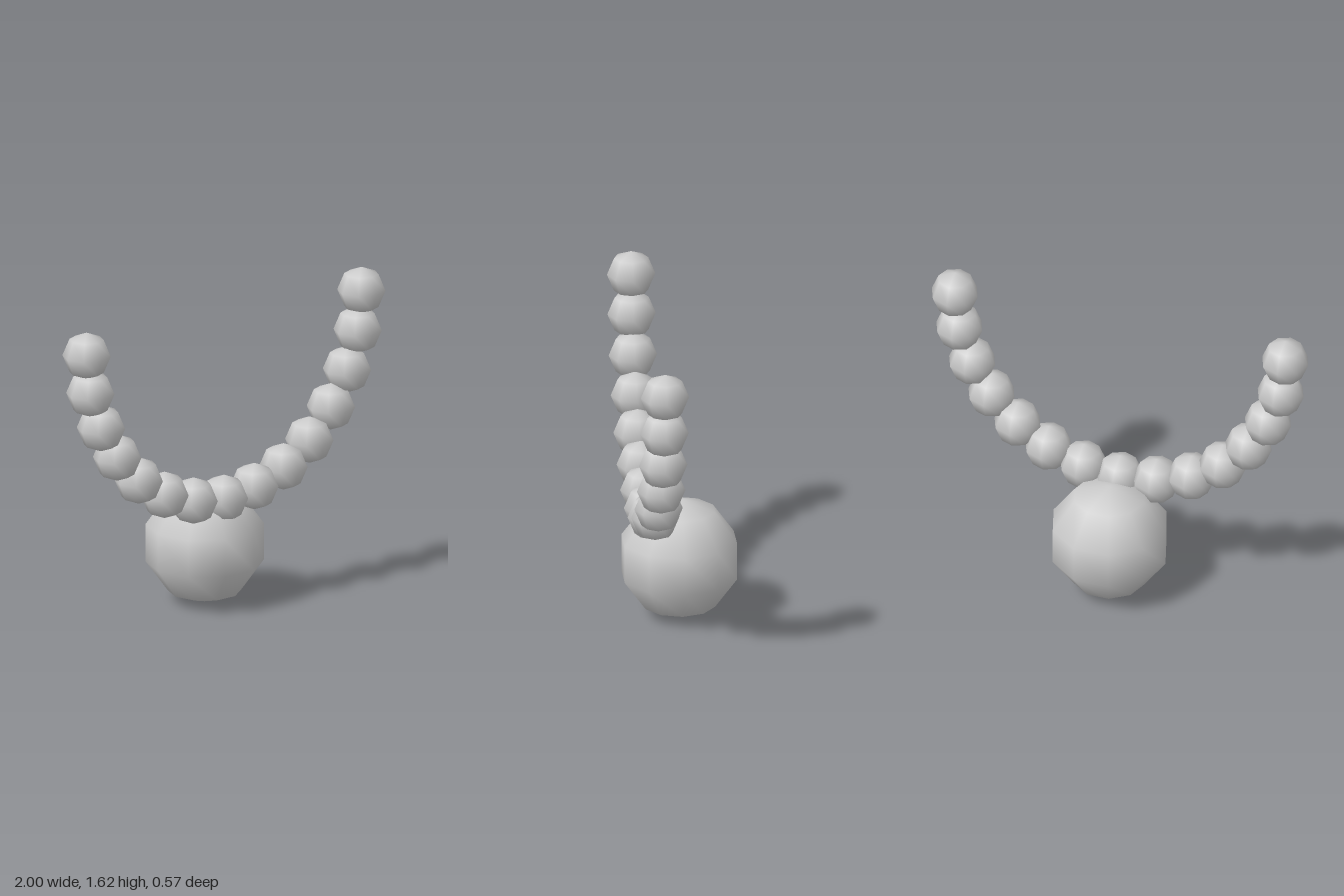
import * as THREE from 'three';

const BEAD_RADIUS = 0.122;
const BEAD_Z = 0.157;
const PENDANT_RADIUS = 0.3125;

// Bead centres along one half of the strand, from the middle to the tip
const STRAND = [
  [0, 0.583], [0.194, 0.607], [0.38, 0.674], [0.545, 0.782],
  [0.683, 0.93], [0.786, 1.105], [0.854, 1.3], [0.878, 1.503],
];

export function createModel() {
  const model = new THREE.Group();
  model.name = 'beadNecklace';
  const grey = new THREE.MeshStandardMaterial({ color: 0xcccccc });
  grey.name = 'light grey';

  // Large faceted ball hanging under the strand
  const pendant = new THREE.Mesh(new THREE.SphereGeometry(PENDANT_RADIUS, 10, 5), grey);
  pendant.name = 'pendantBall';
  pendant.position.y = PENDANT_RADIUS;
  model.add(pendant);

  // Strand of small beads, mirrored left and right of the middle bead
  const strand = new THREE.Group();
  strand.name = 'beadStrand';
  const beadGeometry = new THREE.SphereGeometry(BEAD_RADIUS, 8, 4);
  const addBead = (name, x, y) => {
    const bead = new THREE.Mesh(beadGeometry, grey);
    bead.name = name;
    bead.position.set(x, y, BEAD_Z);
    strand.add(bead);
  };
  STRAND.forEach(([x, y], i) => {
    if (i === 0) return addBead('middleBead', x, y);
    addBead(`leftBead${i}`, x, y);
    addBead(`rightBead${i}`, -x, y);
  });
  model.add(strand);

  return model;
}
